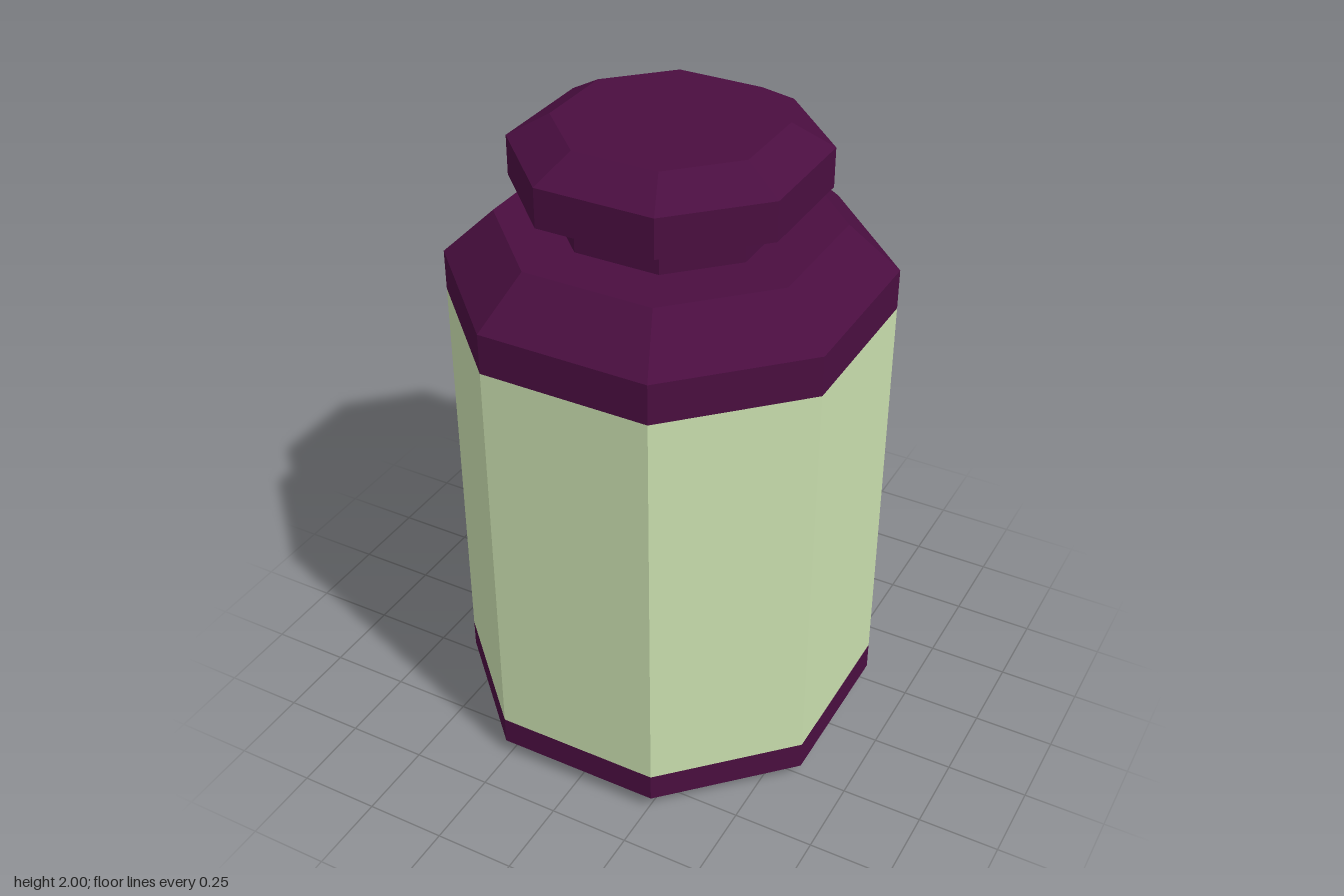
import * as THREE from 'three';

const PURPLE = 0x4a0e40;
const GREEN = 0xc9deae;
const CORNER = 0.432; // half side length relative to the flat-to-centre distance

// Eight-sided turned part; profile points are [flat-to-centre distance, y], bottom to top
function octagonPart(name, color, profile) {
  const points = profile.map(([r, y]) => new THREE.Vector2(r, y));
  const lathe = new THREE.LatheGeometry(points, 8, Math.PI / 8);
  const pos = lathe.attributes.position;
  for (let i = 0; i < pos.count; i++) {
    const x = pos.getX(i), z = pos.getZ(i), r = Math.hypot(x, z);
    const wide = Math.abs(x) > Math.abs(z);
    pos.setX(i, Math.sign(x) * r * (wide ? 1 : CORNER));
    pos.setZ(i, Math.sign(z) * r * (wide ? CORNER : 1));
  }
  const geometry = lathe.toNonIndexed();
  geometry.computeVertexNormals();
  const mesh = new THREE.Mesh(geometry, new THREE.MeshStandardMaterial({ color, flatShading: true }));
  mesh.name = name;
  return mesh;
}

export function createModel() {
  const jar = new THREE.Group();
  jar.name = 'jar';
  jar.add(
    // Closed base with a small bevel
    octagonPart('base', PURPLE, [[0, 0], [0.56, 0], [0.605, 0.05], [0.605, 0.14]]),
    // Tall straight wall
    octagonPart('body', GREEN, [[0.605, 0.14], [0.605, 1.43]]),
    // Upper band, sloping shoulder and flat ledge
    octagonPart('shoulder', PURPLE, [[0.605, 1.43], [0.605, 1.555], [0.465, 1.695], [0.305, 1.695]]),
    octagonPart('neck', PURPLE, [[0.305, 1.695], [0.305, 1.78]]),
    // Bevelled stopper
    octagonPart('lid', PURPLE, [[0.305, 1.78], [0.42, 1.81], [0.42, 1.93], [0.305, 2], [0, 2]])
  );
  return jar;
}
